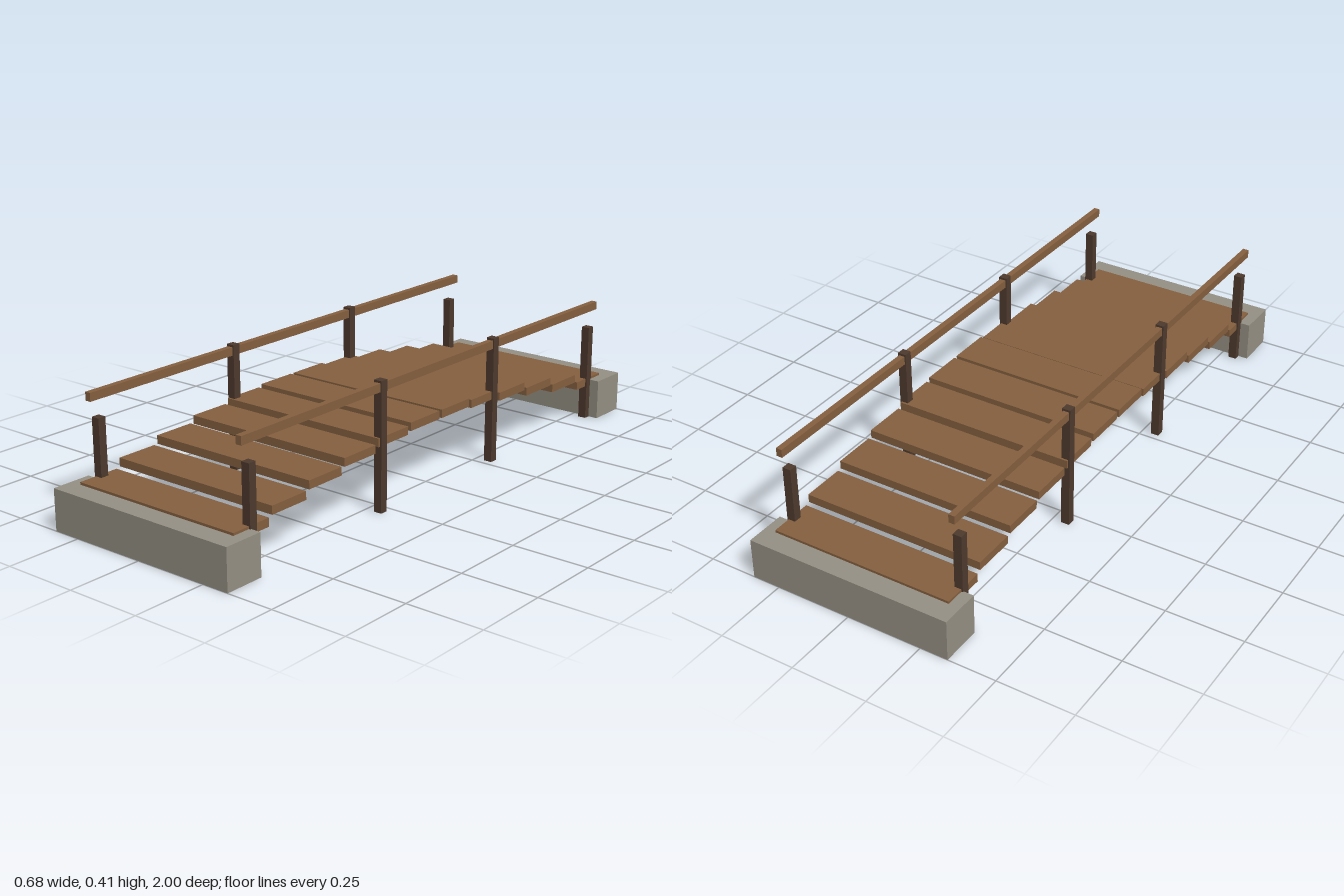
import * as THREE from 'three';

export function createModel() {
  const bridge = new THREE.Group();
  bridge.name = 'footbridge';

  const material = (name, color) => {
    const m = new THREE.MeshStandardMaterial({ color });
    m.name = name;
    return m;
  };
  const wood = material('plank wood', 0x85603f);
  const darkWood = material('dark post wood', 0x4e3a2e);
  const stone = material('stone', 0x959084);

  // Box placed by its centre in x and z and by its bottom in y
  const addBox = (name, mat, [w, h, d], x, bottom, z) => {
    const mesh = new THREE.Mesh(new THREE.BoxGeometry(w, h, d), mat);
    mesh.name = name;
    mesh.position.set(x, bottom + h / 2, z);
    bridge.add(mesh);
  };

  // Stone abutments at both ends
  for (const s of [-1, 1]) addBox('abutment', stone, [0.684, 0.134, 0.134], 0, 0, s * 0.933);

  // Level deck planks stepping along a sine arch
  const count = 12, pitch = 0.1565, thickness = 0.027;
  for (let i = 0; i < count; i++) {
    const top = 0.126 + 0.122 * Math.sin(Math.PI * (i + 0.5) / count);
    addBox('deckPlank', wood, [0.608, thickness, 0.143], 0, top - thickness, (i - (count - 1) / 2) * pitch);
  }

  // Posts and straight handrail on each side
  for (const s of [-1, 1]) {
    const x = s * 0.295;
    for (const z of [-0.857, -0.286, 0.286, 0.857]) {
      const height = Math.abs(z) > 0.5 ? 0.325 : 0.415;
      addBox('railPost', darkWood, [0.028, height, 0.027], x, 0, z);
    }
    addBox('handrail', wood, [0.02, 0.027, 1.788], x, 0.381, 0);
  }
  return bridge;
}
